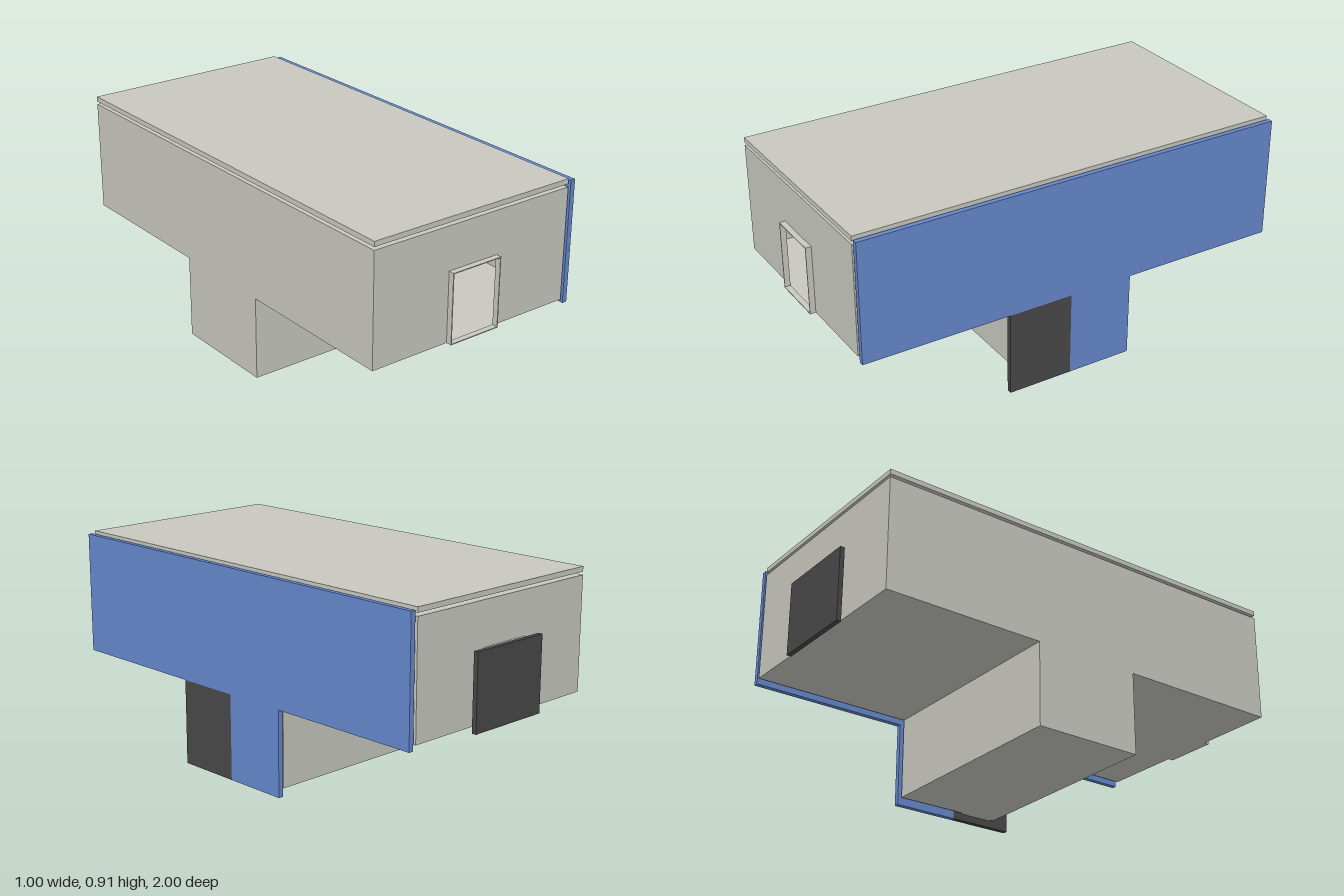
import * as THREE from 'three';

const X0 = -0.5, X1 = 0.465;      // body width
const Z0 = -0.965, Z1 = 0.975;    // body length
const TOP = 0.875, FLOOR = 0.39, BASE = 0.03;
const S0 = -0.25, S1 = 0.235;     // stem length

export function createModel() {
  const model = new THREE.Group();
  const wallGrey = new THREE.MeshStandardMaterial({ color: 0xc8c8c0, side: THREE.DoubleSide });
  wallGrey.name = 'wall grey';
  const panelBlue = new THREE.MeshStandardMaterial({ color: 0x6688cc });
  panelBlue.name = 'panel blue';
  const doorDark = new THREE.MeshStandardMaterial({ color: 0x484848 });
  doorDark.name = 'door dark';

  const add = (name, geometry, material) => {
    const mesh = new THREE.Mesh(geometry, material);
    mesh.name = name;
    model.add(mesh);
    return mesh;
  };
  const box = (name, material, x0, x1, y0, y1, z0, z1) =>
    add(name, new THREE.BoxGeometry(x1 - x0, y1 - y0, z1 - z0)
      .translate((x0 + x1) / 2, (y0 + y1) / 2, (z0 + z1) / 2), material);
  const outline = (pts) => pts.map(([a, b]) => new THREE.Vector2(a, b));
  const rect = (a0, a1, b0, b1) => [[a0, b0], [a1, b0], [a1, b1], [a0, b1]];

  // Orient a flat shape: 'x' takes (z, y), 'y' takes (x, z), 'z' takes (x, y)
  const orient = (geo, axis, at) => {
    if (axis === 'x') return geo.rotateY(-Math.PI / 2).translate(at, 0, 0);
    if (axis === 'y') return geo.rotateX(Math.PI / 2).translate(0, at, 0);
    return geo.translate(0, 0, at);
  };
  const sheet = (name, axis, at, pts, holes = []) => {
    const shape = new THREE.Shape(outline(pts));
    holes.forEach((h) => shape.holes.push(new THREE.Path(outline(rect(...h)))));
    add(name, orient(new THREE.ShapeGeometry(shape), axis, at), wallGrey);
  };
  // Open rectangular rim standing out from an opening
  const rim = (name, axis, from, to, [a0, a1, b0, b1]) => {
    const t = 0.004;
    const shape = new THREE.Shape(outline(rect(a0, a1, b0, b1)));
    shape.holes.push(new THREE.Path(outline(rect(a0 + t, a1 - t, b0 + t, b1 - t))));
    const geo = new THREE.ExtrudeGeometry(shape, { depth: to - from, bevelEnabled: false });
    add(name, orient(geo, axis, axis === 'z' ? from : to), wallGrey);
  };

  // End walls with a doorway notch
  const doorway = [-0.14, 0.10, FLOOR, 0.69];
  const endWall = [[X0, FLOOR], [-0.14, FLOOR], [-0.14, 0.69], [0.10, 0.69],
    [0.10, FLOOR], [X1, FLOOR], [X1, TOP], [X0, TOP]];
  sheet('frontWall', 'z', Z1, endWall);
  sheet('backWall', 'z', Z0, endWall);
  rim('frontDoorRim', 'z', Z1, 1, doorway);
  rim('backDoorRim', 'z', -0.98, Z0, doorway);

  // T-shaped side walls, windows on the left one
  const tee = [[Z0, TOP], [Z0, FLOOR], [S0, FLOOR], [S0, BASE],
    [S1, BASE], [S1, FLOOR], [Z1, FLOOR], [Z1, TOP]];
  const windows = [-0.6, 0, 0.61].map((z) => [z - 0.24, z + 0.24, 0.63, 0.81]);
  const sideDoor = [0.07, 0.225, BASE + 0.001, 0.27];
  sheet('rightWall', 'x', X0, tee);
  sheet('leftWall', 'x', X1, tee, [...windows, sideDoor]);
  windows.forEach((w) => rim('windowRim', 'x', X1, 0.478, w));
  rim('sideDoorRim', 'x', X1, 0.478, sideDoor);

  // Floors and stem
  sheet('frontFloor', 'y', FLOOR, rect(X0, X1, S1, Z1));
  sheet('backFloor', 'y', FLOOR, rect(X0, X1, Z0, S0));
  sheet('stemFloor', 'y', BASE, rect(X0, X1, S0, S1));
  sheet('stemFront', 'z', S1, rect(X0, X1, BASE, FLOOR));
  sheet('stemBack', 'z', S0, rect(X0, X1, BASE, FLOOR));

  // Ceiling with skylight rims under the raised roof slab
  const skylights = [];
  for (const z of [-0.6, 0, 0.61])
    for (const [a, b] of [[-0.26, -0.14], [0.10, 0.225]]) skylights.push([a, b, z - 0.24, z + 0.24]);
  sheet('ceiling', 'y', TOP, rect(X0, X1, Z0, Z1), skylights);
  skylights.forEach((s) => rim('skylightRim', 'y', TOP, 0.888, s));
  box('roofSlab', wallGrey, X0, X1, 0.888, 0.91, Z0, Z1);

  // Blue side cladding, with the lower corner left free for the door
  const cladding = new THREE.Shape(outline([[Z0, 0.9], [Z0, 0.37], [-0.26, 0.37], [-0.26, 0],
    [0.03, 0], [0.03, 0.37], [Z1, 0.37], [Z1, 0.9]]));
  add('sideCladding', orient(new THREE.ExtrudeGeometry(cladding,
    { depth: 0.022, bevelEnabled: false }), 'x', 0.5), panelBlue);

  // Dark door panels
  box('sideDoor', doorDark, 0.478, 0.5, 0, 0.37, 0.03, 0.32);
  box('backDoor', doorDark, -0.21, 0.17, 0.37, 0.693, -1, -0.98);

  return model;
}
